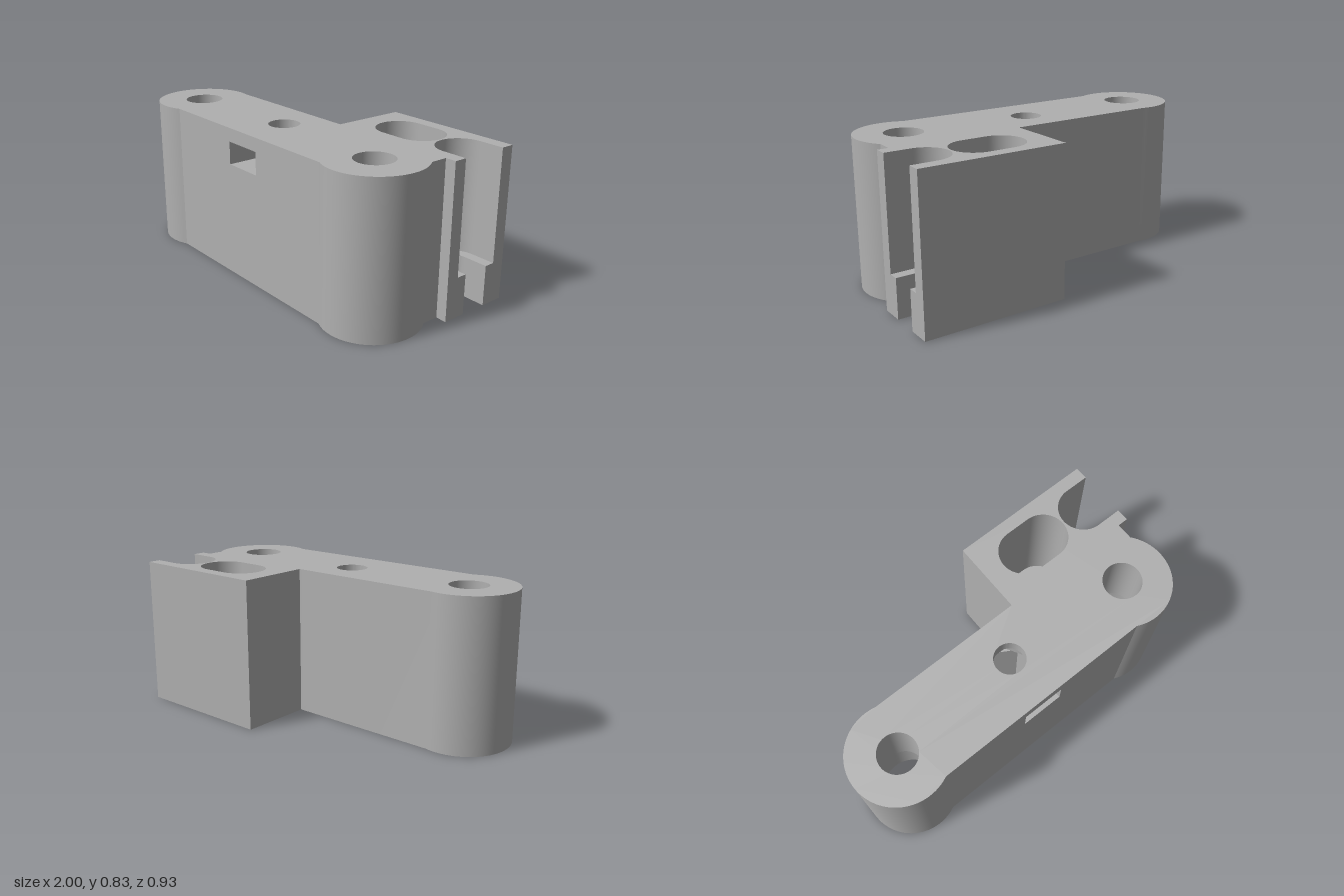
import * as THREE from 'three';
import { toCreasedNormals } from 'three/addons/utils/BufferGeometryUtils.js';

// Plan coordinates are (x, v) with v = -z; heights are y.
const H = 0.83, FRONT = -0.437, BACK = 0.057;
const LUG_X = 0.735, LUG_V = -0.2, LUG_R = 0.263;
const SLOT_V = 0.26, SLOT_R = 0.076, SLOT_WIDE = 0.133, LEDGE = 0.22;
const BORE_R = 0.105, BORE_WIDE = 0.165, BORE_STEP = 0.45;
const NUT_V = -0.165, NUT_R = 0.135, NUT_HOLE = 0.085, NUT_LOW = 0.63, NUT_HIGH = 0.755, NUT_W = 0.117;
const PI = Math.PI;

const P = (x, v) => new THREE.Vector2(x, v);

// Points along an arc, both ends included
function arc(cx, cv, r, a0, a1, n = 32) {
  return Array.from({ length: n + 1 }, (_, i) => {
    const a = a0 + (a1 - a0) * i / n;
    return P(cx + r * Math.cos(a), cv + r * Math.sin(a));
  });
}

// Closed clockwise loop, used for holes
const ring = (cx, cv, r, n = 64, a = PI / 2) => arc(cx, cv, r, a, a - 2 * PI, n).slice(0, -1);

const oblong = (x0, x1, r) => [
  ...arc(x0, SLOT_V, r, -PI / 2, -1.5 * PI),
  ...arc(x1, SLOT_V, r, PI / 2, -PI / 2),
];

// Open channel entering from the right end
const channel = r => [
  P(1, SLOT_V - r),
  ...arc(0.86, SLOT_V, r, -PI / 2, -1.5 * PI),
  P(1, SLOT_V + r),
];

// Vertical wall over a plan path
function wallGeometry(points, y0, y1, closed) {
  const pos = [];
  const pts = closed ? [...points, points[0]] : points;
  for (let i = 0; i + 1 < pts.length; i++) {
    const a = pts[i], b = pts[i + 1];
    if (a.distanceTo(b) < 1e-5) continue;
    pos.push(a.x, y0, -a.y, b.x, y0, -b.y, b.x, y1, -b.y);
    pos.push(a.x, y0, -a.y, b.x, y1, -b.y, a.x, y1, -a.y);
  }
  const g = new THREE.BufferGeometry();
  g.setAttribute('position', new THREE.Float32BufferAttribute(pos, 3));
  return toCreasedNormals(g, 0.35);
}

function shapeOf(points, holes = []) {
  const s = new THREE.Shape(points);
  holes.forEach(h => s.holes.push(new THREE.Path(h)));
  return new THREE.ShapeGeometry(s);
}

export function createModel() {
  const group = new THREE.Group();
  const grey = new THREE.MeshStandardMaterial({ color: 0xb0b0b0, side: THREE.DoubleSide });
  grey.name = 'plain grey';

  const add = (name, geometry) => {
    const m = new THREE.Mesh(geometry, grey);
    m.name = name;
    group.add(m);
  };
  const wall = (name, pts, y0, y1, closed = true) => add(name, wallGeometry(pts, y0, y1, closed));
  const plate = (name, y, pts, holes, down = false) => {
    const g = shapeOf(pts, holes);
    g.rotateX(-PI / 2);
    if (down) { // reverse corners so the face looks downwards
      const ix = g.index.array;
      for (let i = 0; i < ix.length; i += 3) [ix[i], ix[i + 1]] = [ix[i + 1], ix[i]];
      g.computeVertexNormals();
    }
    add(name, g.translate(0, y, 0));
  };

  // Outline: right lug up to the channel, then block, back and left lug
  const lugDrop = FRONT - LUG_V, lugSide = Math.sqrt(LUG_R ** 2 - lugDrop ** 2);
  const lugRise = BACK - LUG_V, lugTop = Math.sqrt(LUG_R ** 2 - lugRise ** 2);
  const rightRun = [
    ...arc(LUG_X, LUG_V, LUG_R, Math.atan2(lugDrop, -lugSide), Math.acos(0.205 / LUG_R), 48),
    P(0.94, BACK), P(1, BACK),
  ];
  const leftRun = [
    P(1, 0.465), P(0.195, 0.465), P(0.195, BACK),
    ...arc(-LUG_X, LUG_V, LUG_R, Math.atan2(lugRise, lugTop), Math.atan2(lugDrop, lugSide) + 2 * PI, 48),
  ];
  const outline = r => [...rightRun, ...channel(r), ...leftRun];

  wall('rightSide', [...rightRun, P(1, SLOT_V - SLOT_WIDE)], 0, H, false);
  wall('backAndLeftSide', [P(1, SLOT_V + SLOT_WIDE), ...leftRun], 0, H, false);

  // Front face with the nut slot opening
  const fx = LUG_X - lugSide;
  const front = shapeOf(
    [P(-fx, 0), P(fx, 0), P(fx, H), P(-fx, H)],
    [[P(-NUT_W, NUT_LOW), P(-NUT_W, NUT_HIGH), P(NUT_W, NUT_HIGH), P(NUT_W, NUT_LOW)]]);
  add('frontFace', front.translate(0, 0, -FRONT));

  // Top and bottom faces
  const nutHole = ring(0, NUT_V, NUT_HOLE);
  const nutHex = ring(0, NUT_V, NUT_R, 6);
  const slotWide = oblong(0.443, 0.583, SLOT_WIDE), slotNarrow = oblong(0.443, 0.583, SLOT_R);
  const bores = r => [-1, 1].map(s => ring(s * LUG_X, LUG_V, r));
  plate('topFace', H, outline(SLOT_WIDE), [...bores(BORE_R), nutHole, slotWide]);
  plate('bottomFace', 0, outline(SLOT_R), [...bores(BORE_WIDE), nutHex, slotNarrow], true);

  // Stepped bores through the lugs
  const narrowBores = bores(BORE_R);
  bores(BORE_WIDE).forEach((wide, i) => {
    wall('lugBore', narrowBores[i], BORE_STEP, H);
    wall('lugCounterbore', wide, 0, BORE_STEP);
    plate('lugBoreStep', BORE_STEP, wide, [narrowBores[i]], true);
  });

  // Stepped oblong slot
  wall('slotUpperWall', slotWide, LEDGE, H);
  wall('slotLowerWall', slotNarrow, 0, LEDGE);
  plate('slotLedge', LEDGE, slotWide, [slotNarrow]);

  // Stepped open channel
  wall('channelUpperWall', channel(SLOT_WIDE), LEDGE, H, false);
  wall('channelLowerWall', channel(SLOT_R), 0, LEDGE, false);
  plate('channelLedge', LEDGE, [...channel(SLOT_WIDE), ...channel(SLOT_R).reverse()]);
  wall('channelEndFront', [P(1, SLOT_V - SLOT_WIDE), P(1, SLOT_V - SLOT_R)], 0, LEDGE, false);
  wall('channelEndBack', [P(1, SLOT_V + SLOT_R), P(1, SLOT_V + SLOT_WIDE)], 0, LEDGE, false);

  // Nut slot from the front, with a round hole above and a hexagonal one below
  const pocket = [
    P(-NUT_W, FRONT), P(-NUT_W, -0.135), P(-0.067, -0.048),
    P(0.067, -0.048), P(NUT_W, -0.135), P(NUT_W, FRONT),
  ];
  wall('nutSlotWall', pocket, NUT_LOW, NUT_HIGH, false);
  plate('nutSlotCeiling', NUT_HIGH, pocket, [nutHole], true);
  wall('centreHole', nutHole, NUT_HIGH, H);
  wall('hexHole', nutHex, 0, NUT_LOW);
  plate('nutSlotFloor', NUT_LOW, [
    P(-NUT_W, FRONT), P(NUT_W, FRONT), P(NUT_W, -0.2325), P(0, NUT_V - NUT_R), P(-NUT_W, -0.2325),
  ]);

  // Small ledges where the slot end and hexagon do not coincide
  for (const s of [-1, 1]) {
    plate('nutSlotBackLedge', NUT_LOW, [P(s * 0.031, -0.048), P(s * 0.067, -0.048), P(s * 0.085, -0.079)]);
    plate('hexCornerLedge', NUT_LOW, [P(s * NUT_W, -0.135), P(s * NUT_W, -0.0975), P(s * 0.085, -0.079)], [], true);
  }
  plate('hexTipLedge', NUT_LOW, [P(-0.031, -0.048), P(0.031, -0.048), P(0, -0.03)], [], true);

  return group;
}
